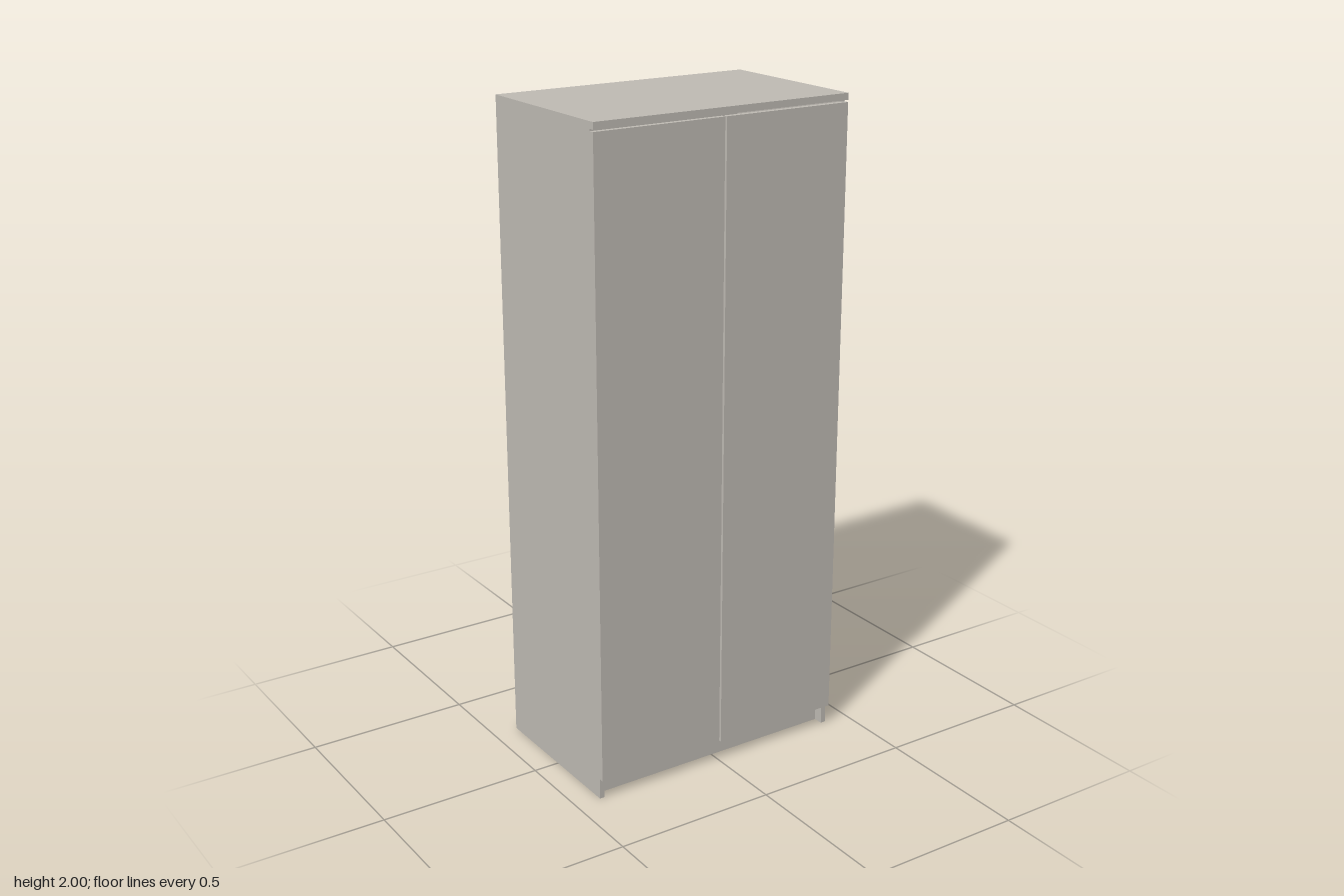
import * as THREE from 'three';

export function createModel() {
  const group = new THREE.Group();
  group.name = 'wardrobe';
  const lacquer = new THREE.MeshStandardMaterial({ color: 0xbebab3 });
  lacquer.name = 'warm grey lacquer';

  // Panel given by its extents on each axis
  function panel(name, x0, x1, y0, y1, z0, z1) {
    const mesh = new THREE.Mesh(new THREE.BoxGeometry(x1 - x0, y1 - y0, z1 - z0), lacquer);
    mesh.position.set((x0 + x1) / 2, (y0 + y1) / 2, (z0 + z1) / 2);
    mesh.name = name;
    group.add(mesh);
  }

  const W = 0.42, T = 0.016, inner = W - T;
  const back = -0.262, front = 0.246, face = 0.262;
  const base = 0.065, top = 2;

  // Carcass: side panels reach the floor, the rest sits between them
  panel('rightSide', -W, -inner, 0, top, back, front);
  panel('leftSide', inner, W, 0, top, back, front);
  panel('topPanel', -inner, inner, top - 0.02, top, back, front);
  panel('bottomPanel', -inner, inner, base, base + T, back, front);
  panel('backPanel', -inner, inner, base + T, top - 0.02, back, back + 0.01);

  // Recessed plinth between the side panels
  panel('plinth', -inner, inner, 0, base, 0.2, 0.216);

  // Front rail above the doors
  panel('topRail', -W, W, 1.98, top, front, face);

  // Pair of plain doors with a narrow gap
  panel('rightDoor', -W, -0.003, base, 1.974, front, face);
  panel('leftDoor', 0.003, W, base, 1.974, front, face);

  return group;
}
